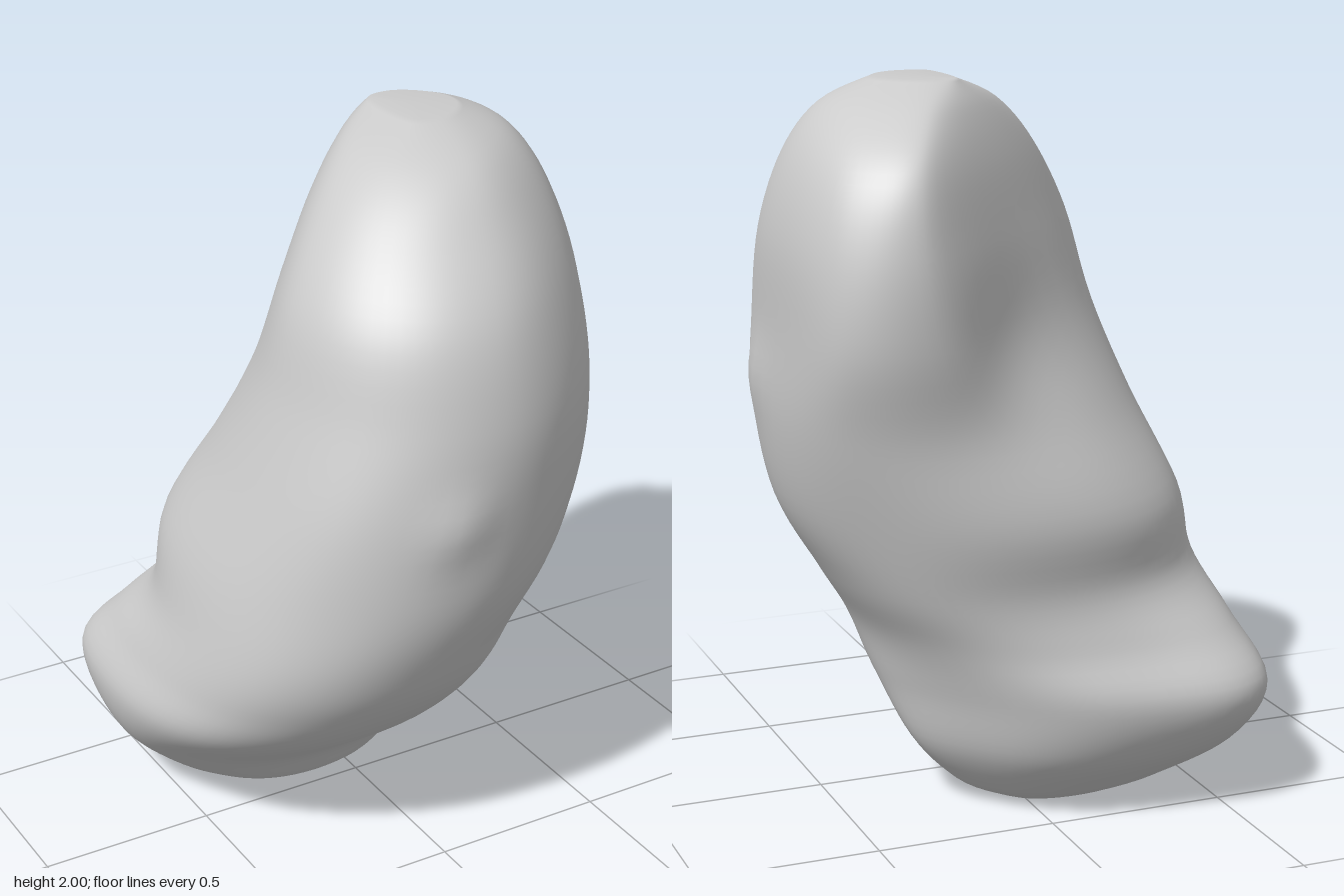
import * as THREE from 'three';

// Level sections: height, then the reach of the outline in eight directions,
// turning in 45 degree steps from +x through +z, -x and -z.
const LEVELS = [
  [0.00, 0.07, -0.08, -0.07, 0.12, 0.35, 0.42, 0.34, 0.22],
  [0.05, 0.17, 0.02, 0.01, 0.21, 0.47, 0.54, 0.42, 0.30],
  [0.18, 0.29, 0.13, 0.115, 0.34, 0.62, 0.73, 0.57, 0.40],
  [0.35, 0.36, 0.30, 0.34, 0.52, 0.675, 0.82, 0.64, 0.45],
  [0.50, 0.41, 0.41, 0.48, 0.59, 0.63, 0.71, 0.58, 0.50],
  [0.65, 0.50, 0.48, 0.56, 0.62, 0.585, 0.58, 0.55, 0.57],
  [0.85, 0.61, 0.575, 0.62, 0.61, 0.535, 0.555, 0.585, 0.64],
  [1.10, 0.66, 0.63, 0.635, 0.58, 0.44, 0.41, 0.57, 0.715],
  [1.35, 0.66, 0.635, 0.625, 0.515, 0.355, 0.29, 0.595, 0.775],
  [1.60, 0.655, 0.575, 0.555, 0.435, 0.285, 0.21, 0.585, 0.76],
  [1.80, 0.60, 0.48, 0.40, 0.27, 0.16, 0.15, 0.525, 0.68],
  [1.93, 0.50, 0.37, 0.25, 0.10, 0.02, 0.09, 0.38, 0.52],
  [2.00, 0.35, 0.22, 0.04, -0.10, -0.15, 0.03, 0.22, 0.34],
];
// Local relief: centre, radius, shift
const RELIEF = [
  { at: [-0.06, 1.10, 0.64], radius: 0.09, shift: [0, 0, 0.025] },      // front swelling
  { at: [0.66, 1.20, 0.03], radius: 0.09, shift: [0.015, 0, 0] },       // side swelling
  { at: [-0.46, 0.34, -0.60], radius: 0.18, shift: [-0.01, 0, -0.03] }, // tip of the low lobe
  { at: [0.10, 1.25, -0.45], radius: 0.24, shift: [0.03, 0, 0.045] },   // hollow in the back
];
const STEPS = 6; // rings between two levels
const ARC = 8;   // points per eighth of a ring

// Smooth blend of the levels at position t (in level numbers)
function levelAt(t) {
  const last = LEVELS.length - 1;
  const i = Math.min(Math.floor(t), last - 1), f = t - i;
  const row = k => LEVELS[Math.min(Math.max(k, 0), last)];
  return LEVELS[0].map((_, n) => {
    const a = row(i - 1)[n], b = row(i)[n], c = row(i + 1)[n], d = row(i + 2)[n];
    const p = (c - a) / 2, q = (d - b) / 2;
    return b + f * (p + f * (3 * (c - b) - 2 * p - q + f * (2 * (b - c) + p + q)));
  });
}

// Rounded outline touching the eight reach lines
function outline(reach) {
  const s = Math.SQRT1_2;
  const corners = reach.map((h, i) => {
    const a = i * Math.PI / 4, g = (reach[(i + 1) % 8] - h * s) / s;
    return new THREE.Vector2(Math.cos(a) * h - Math.sin(a) * g, Math.sin(a) * h + Math.cos(a) * g);
  });
  const points = [];
  for (let i = 0; i < 8; i++) {
    const c = corners[i];
    const from = corners[(i + 7) % 8].clone().lerp(c, 0.5);
    const to = c.clone().lerp(corners[(i + 1) % 8], 0.5);
    const curve = new THREE.QuadraticBezierCurve(from, c, to);
    for (let j = 0; j < ARC; j++) points.push(curve.getPoint(j / ARC));
  }
  return points;
}

// Shift a point by the relief around it
function carve(point) {
  const moved = point.clone();
  for (const { at, radius, shift } of RELIEF) {
    const d = point.distanceTo(new THREE.Vector3(...at)) / radius;
    moved.addScaledVector(new THREE.Vector3(...shift), Math.exp(-d * d));
  }
  return moved;
}

function bodyGeometry() {
  const pos = [], index = [], n = 8 * ARC, rings = (LEVELS.length - 1) * STEPS;
  const centers = [];
  for (let i = 0; i <= rings; i++) {
    const [y, ...reach] = levelAt(i / STEPS);
    const mid = new THREE.Vector2();
    for (const p of outline(reach)) {
      mid.addScaledVector(p, 1 / n);
      pos.push(...carve(new THREE.Vector3(p.x, y, p.y)));
    }
    if (i === 0 || i === rings) centers.push([mid.x, y, mid.y]);
  }
  for (let i = 0; i < rings; i++) {
    for (let j = 0; j < n; j++) {
      const k = (j + 1) % n, a = i * n + j, b = a + n, c = i * n + k, d = c + n;
      index.push(a, b, c, b, d, c);
    }
  }
  // Close the two ends
  const low = pos.length / 3, top = rings * n;
  pos.push(...centers[0], ...centers[1]);
  for (let j = 0; j < n; j++) {
    const k = (j + 1) % n;
    index.push(low, j, k, low + 1, top + k, top + j);
  }
  const geometry = new THREE.BufferGeometry();
  geometry.setAttribute('position', new THREE.Float32BufferAttribute(pos, 3));
  geometry.setIndex(index);
  geometry.computeVertexNormals();
  return geometry;
}

export function createModel() {
  const group = new THREE.Group();
  group.name = 'roundedStone';
  const body = new THREE.Mesh(bodyGeometry(), new THREE.MeshStandardMaterial({ color: 0xcccccc }));
  body.name = 'body';
  group.add(body);
  return group;
}
